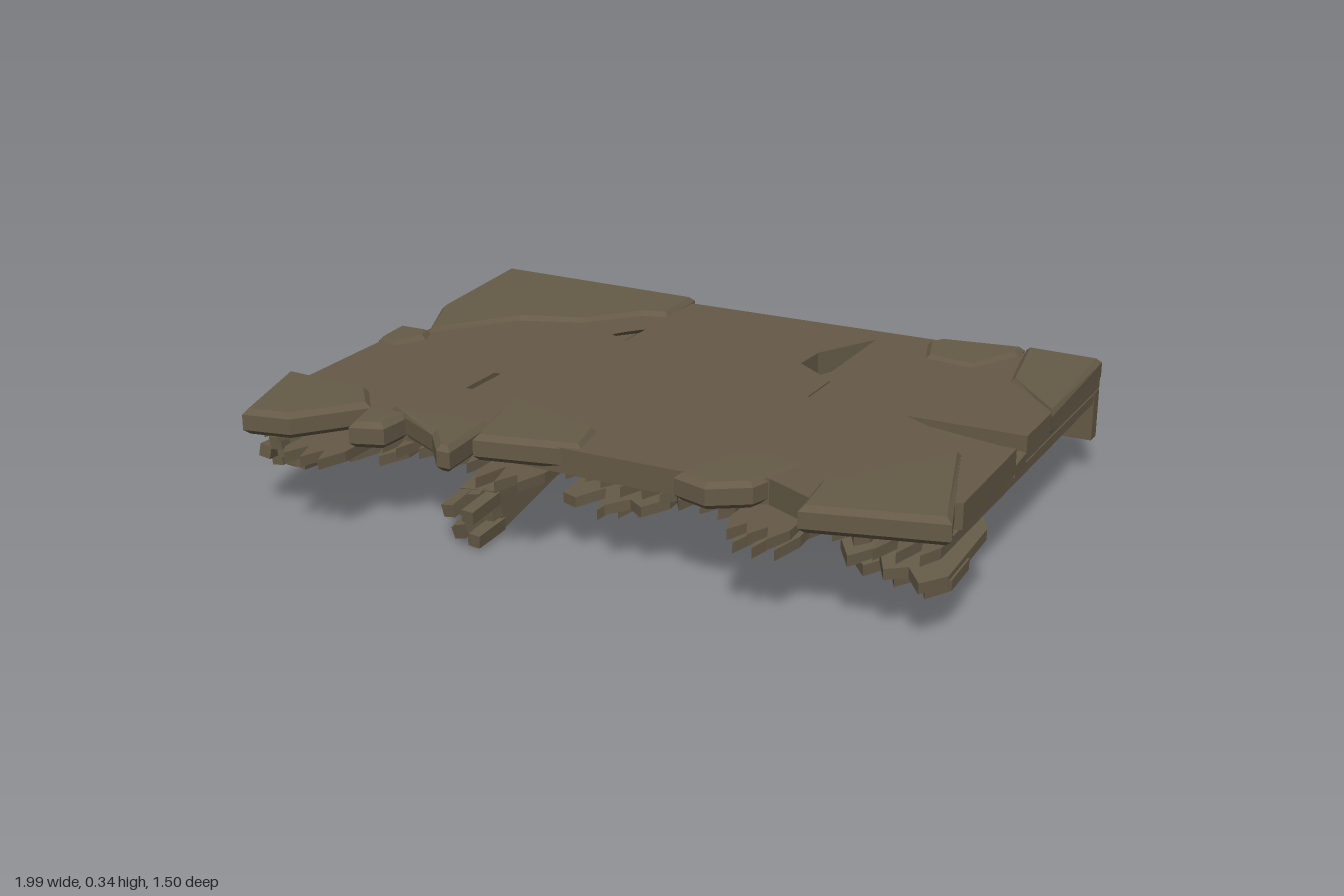
import * as THREE from 'three';

const timber = new THREE.MeshStandardMaterial({ color: 0x655a47 });

let seed = 7;
const rand = () => (seed = (seed * 16807) % 2147483647) / 2147483647;
const range = (a, b) => a + (b - a) * rand();

// Flat piece from an [x, z] outline, between heights y0 and y1, with optional bevel, holes and tilt
function plate(name, pts, y0, y1, { bevel = 0, holes = [], sx = 0, sz = 0 } = {}) {
  const toVec = ([x, z]) => new THREE.Vector2(x, -z);
  const shape = new THREE.Shape(pts.map(toVec));
  holes.forEach((h) => shape.holes.push(new THREE.Path(h.map(toVec))));
  const geo = new THREE.ExtrudeGeometry(shape, {
    depth: y1 - y0 - 2 * bevel, bevelEnabled: bevel > 0, bevelSize: bevel,
    bevelThickness: bevel, bevelOffset: -bevel, bevelSegments: 1,
  });
  geo.rotateX(-Math.PI / 2).translate(0, y0 + bevel, 0);
  const cx = pts.reduce((s, p) => s + p[0], 0) / pts.length;
  const cz = pts.reduce((s, p) => s + p[1], 0) / pts.length;
  const pos = geo.attributes.position;
  for (let i = 0; i < pos.count; i++) {
    pos.setY(i, pos.getY(i) + sx * (pos.getX(i) - cx) + sz * (pos.getZ(i) - cz));
  }
  geo.computeVertexNormals();
  const mesh = new THREE.Mesh(geo, timber);
  mesh.name = name;
  return mesh;
}

// Board outline running along z with a splintered front end (and optionally back end)
function board(x0, x1, z0, z1, rough, bothEnds = false) {
  const n = 6, pts = [];
  const at = (i) => x0 + ((x1 - x0) * i) / n;
  if (bothEnds) for (let i = 0; i <= n; i++) pts.push([at(i), z0 + range(0, rough)]);
  else pts.push([x0, z0], [x1, z0]);
  for (let i = n; i >= 0; i--) pts.push([at(i), z1 - (i % 2 ? range(0, 0.3) : range(0.4, 1)) * rough]);
  return pts;
}

// Joist along z from z0 to z1, made of a solid length plus uneven splinters at the broken end
function joist(name, x, y, z0, z1) {
  const g = new THREE.Group();
  g.name = name;
  const size = 0.112, cell = size / 3;
  const add = (w, d, px, py, pz) => {
    const m = new THREE.Mesh(new THREE.BoxGeometry(w, w, d), timber);
    m.position.set(px, py, pz);
    m.name = name + 'Wood';
    g.add(m);
    return m;
  };
  add(size, z1 - z0, 0, 0, (z0 + z1) / 2);
  for (let i = -1; i <= 1; i++) {
    for (let j = -1; j <= 1; j++) {
      const d = range(0.03, 0.13);
      const splinter = add(cell * 0.95, d, cell * i, cell * j, z1 + d / 2 - 0.01);
      splinter.rotation.set(range(-0.08, 0.08), range(-0.1, 0.1), range(-0.2, 0.2));
    }
  }
  g.position.set(x, y, 0);
  return g;
}

export function createModel() {
  const model = new THREE.Group();
  model.name = 'brokenFloor';

  // Main slab with open holes and side notches
  const holes = [
    [[0.31, -0.67], [0.21, -0.48], [0.205, -0.37], [0.312, -0.29]],
    [[0.325, -0.28], [0.485, -0.1], [0.305, -0.12]],
    [[-0.6, 0.24], [-0.545, 0.1], [-0.5, 0.1], [-0.455, 0.25]],
    [[-0.4, -0.36], [-0.335, -0.46], [-0.335, -0.325]],
  ];
  const rightNotch = [[0.96, -0.1], [0.63, -0.1], [0.78, -0.01], [0.965, 0]];
  const leftNotch = [[-0.97, -0.12], [-0.88, -0.12], [-0.975, -0.33]];
  model.add(plate('slab', [
    [-0.98, -0.75], [0.96, -0.75], ...rightNotch, [0.97, 0.4], [0.66, 0.55], [0.5, 0.47],
    [0.35, 0.525], [0.01, 0.525], [-0.96, 0.5], ...leftNotch,
  ], 0.265, 0.333, { holes }));

  // Sloping worn surfaces inside the side notches
  model.add(plate('rightNotchRamp', rightNotch, 0.266, 0.3, { sx: -0.1 }));
  model.add(plate('leftNotchRamp', leftNotch, 0.268, 0.305, { sx: 0.25 }));

  // Raised, bevelled surface fragments around the edges
  const fragment = (name, pts, lift = 0, sx = 0, sz = -0.025) => {
    model.add(plate(name, pts, 0.275 + lift, 0.346 + lift, { bevel: 0.014, sx, sz }));
  };
  fragment('backLeftFragment', [[-1, -0.755], [-0.335, -0.77], [-0.335, -0.59], [-0.41, -0.56],
    [-0.53, -0.42], [-0.71, -0.35], [-0.89, -0.12], [-0.98, -0.33]], 0.003, -0.02);
  fragment('backMiddleFragment', [[0.49, -0.74], [0.73, -0.77], [0.73, -0.71], [0.65, -0.55], [0.5, -0.57], [0.46, -0.7]]);
  fragment('backRightFragment', [[0.735, -0.77], [0.96, -0.76], [0.965, -0.29], [0.78, -0.49]]);
  fragment('leftSmallFragment', [[-0.985, -0.12], [-0.88, -0.12], [-0.855, -0.06], [-0.91, 0.03], [-0.98, 0]]);
  fragment('frontLeftFragment', [[-1, 0.395], [-0.73, 0.4], [-0.65, 0.5], [-0.79, 0.67], [-0.92, 0.7]], 0.004, -0.02);
  fragment('frontSmallFragment', [[-0.66, 0.5], [-0.53, 0.49], [-0.54, 0.6], [-0.63, 0.63]], -0.007);
  fragment('frontSplitFragment', [[-0.6, 0.48], [-0.3, 0.46], [-0.29, 0.67], [-0.33, 0.67], [-0.4, 0.585]], -0.003);
  fragment('frontMiddleFragment', [[-0.34, 0.28], [-0.03, 0.38], [0, 0.51], [-0.28, 0.58]], 0.002, -0.02);
  fragment('frontNotchFragment', [[0.28, 0.55], [0.35, 0.35], [0.43, 0.32], [0.54, 0.35], [0.48, 0.52], [0.38, 0.58]], -0.007);
  fragment('frontRightFragment', [[0.62, 0.44], [0.86, 0.12], [0.99, 0.53], [0.64, 0.615]]);

  // Floorboards under the slab, evenly spaced, each broken off at its own length
  const frontEnds = [0.61, 0.76, 0.56, 0.58, 0.65, 0.52, 0.53, 0.565, 0.66, 0.58, 0.6];
  const pitch = 1.94 / frontEnds.length;
  frontEnds.forEach((z1, i) => {
    const x0 = -0.97 + pitch * i;
    const drop = i % 2 ? 0 : 0.006;
    const pts = board(x0, x0 + pitch - 0.012, -0.755, z1, 0.13);
    // Openings through the boards beneath the two larger holes
    const gaps = { 2: [[-0.54, 0.24], [-0.53, 0.12], [-0.5, 0.1], [-0.5, 0.25]],
      6: [[0.205, -0.37], [0.21, -0.48], [0.219, -0.48], [0.219, -0.36]] };
    model.add(plate('floorboard', pts, 0.236 - drop, 0.264 - drop, { holes: gaps[i] ? [gaps[i]] : [] }));
  });

  // Back beam and the joists it carries
  const beam = new THREE.Mesh(new THREE.BoxGeometry(1.94, 0.142, 0.045), timber);
  beam.name = 'backBeam';
  beam.position.set(-0.01, 0.19, -0.728);
  model.add(beam);
  model.add(joist('leftJoist', -0.92, 0.18, -0.71, 0.47));
  model.add(joist('middleJoistStub', -0.34, 0.18, -0.71, -0.08));
  model.add(joist('rightJoistStub', 0.37, 0.18, -0.71, 0.06));

  // Snapped half of the middle joist, hanging down toward the front
  const fallen = joist('fallenJoist', -0.34, 0.13, -0.3, 0.22);
  fallen.position.z = 0.25;
  fallen.rotation.set(0.16, 0.03, 0.08);
  model.add(fallen);

  // Loose splintered boards hanging below the front edge
  const looseBoard = (x, width, z0, z1, y, sx) => {
    const pts = board(x - width / 2, x + width / 2, z0, z1, 0.12, true);
    model.add(plate('looseBoard', pts, y - 0.013, y + 0.015, { sx, sz: -0.07 }));
  };
  looseBoard(0.07, 0.3, 0.1, 0.53, 0.2, 0.1);
  looseBoard(0.07, 0.16, 0.2, 0.47, 0.16, 0.16);
  looseBoard(0.84, 0.27, 0.12, 0.6, 0.205, -0.18);
  looseBoard(0.86, 0.24, 0.28, 0.58, 0.175, -0.12);
  looseBoard(-0.68, 0.28, 0.2, 0.59, 0.22, 0.06);
  looseBoard(0.54, 0.16, 0.3, 0.66, 0.225, 0);
  return model;
}
